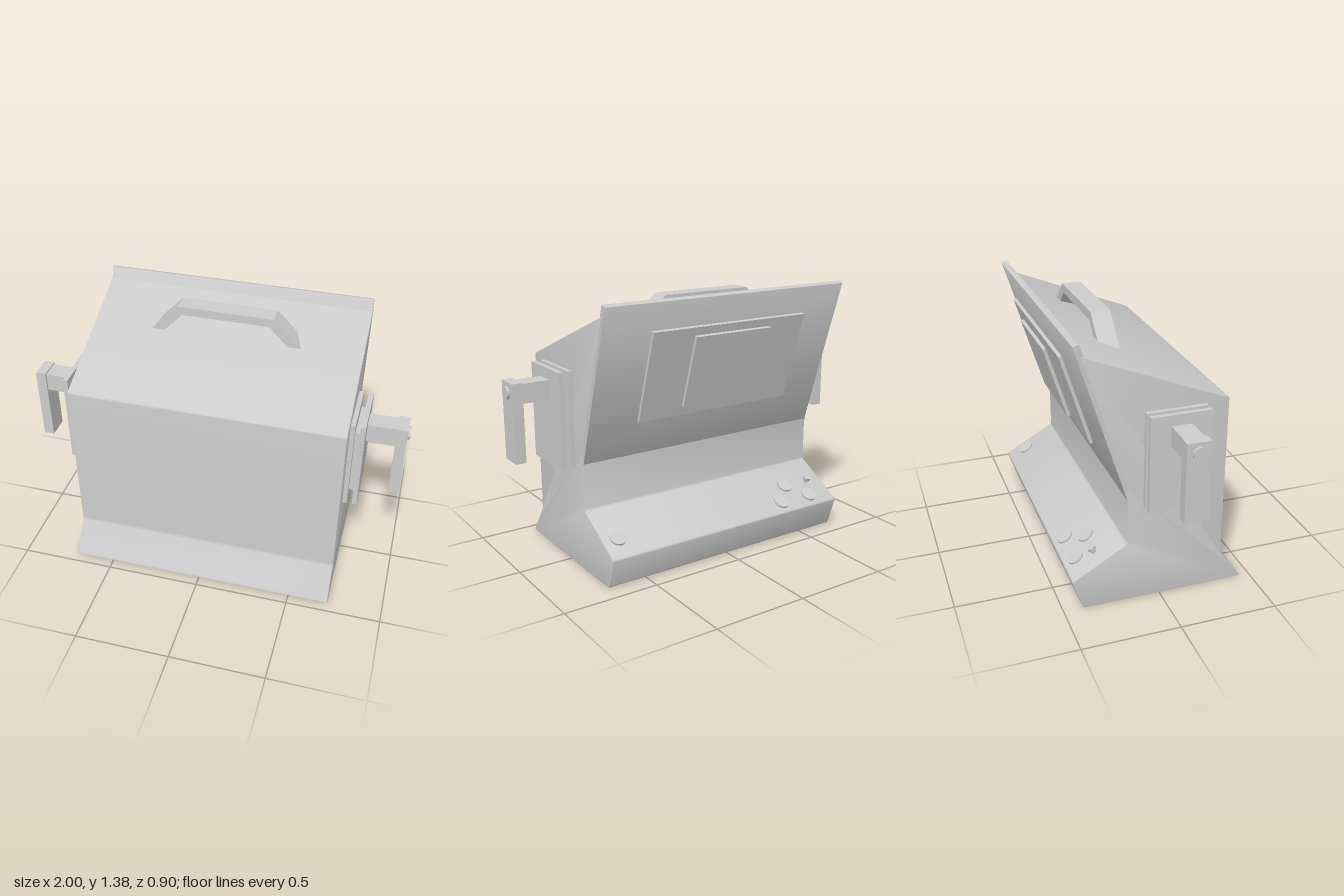
import * as THREE from 'three';
import { toCreasedNormals } from 'three/addons/utils/BufferGeometryUtils.js';

const material = new THREE.MeshStandardMaterial({ color: 0xcccccc });

function add(parent, name, geometry, x = 0, y = 0, z = 0) {
  const mesh = new THREE.Mesh(geometry, material);
  mesh.name = name;
  mesh.position.set(x, y, z);
  parent.add(mesh);
  return mesh;
}

// Box given by its min/max extents
function block(parent, name, [x0, x1], [y0, y1], [z0, z1]) {
  return add(parent, name, new THREE.BoxGeometry(x1 - x0, y1 - y0, z1 - z0),
    (x0 + x1) / 2, (y0 + y1) / 2, (z0 + z1) / 2);
}

// Closed outline with softened corners
function softShape(points, r) {
  const shape = new THREE.Shape();
  const p = points.map(([a, b]) => new THREE.Vector2(a, b));
  p.forEach((c, i) => {
    const toward = (q) => c.clone().add(q.clone().sub(c).setLength(r));
    const a = toward(p[(i + p.length - 1) % p.length]);
    const b = toward(p[(i + 1) % p.length]);
    if (i === 0) shape.moveTo(a.x, a.y);
    else shape.lineTo(a.x, a.y);
    shape.quadraticCurveTo(c.x, c.y, b.x, b.y);
  });
  shape.closePath();
  return shape;
}

// Side profile of [z, y] points extruded across x
function acrossX(profile, width, radius, bevel) {
  const shape = softShape(profile.map(([z, y]) => [-z, y]), radius);
  const geometry = new THREE.ExtrudeGeometry(shape, {
    depth: width - 2 * bevel, curveSegments: 4, bevelEnabled: bevel > 0,
    bevelThickness: bevel, bevelSize: bevel, bevelOffset: -bevel, bevelSegments: 2,
  });
  geometry.translate(0, 0, bevel - width / 2).rotateY(Math.PI / 2);
  return toCreasedNormals(geometry, 0.6);
}

export function createModel() {
  const model = new THREE.Group();
  model.name = 'controlCabinet';

  // Cabinet body
  add(model, 'body', acrossX([
    [0.45, 0], [0.33, 0.17], [0.33, 1.035], [-0.4, 1.33],
    [-0.172, 0.62], [-0.172, 0.325], [-0.455, 0.165], [-0.4, 0],
  ], 1.426, 0.012, 0.006));

  // Sloping display panel
  add(model, 'displayPanel', acrossX([
    [-0.398, 1.381], [-0.428, 1.372], [-0.172, 0.565], [-0.168, 0.645],
  ], 1.42, 0.002, 0));

  // Raised screen plates, parallel to the panel
  const tilt = Math.atan2(0.147, 0.47);
  const plates = [
    ['screenFrame', 0.91, 0.49, 1.0, -0.342],
    ['screen', 0.45, 0.392, 1.003, -0.373],
  ];
  for (const [name, w, h, y, z] of plates) {
    add(model, name, new THREE.BoxGeometry(w, h, 0.017), 0, y, z).rotation.x = -tilt;
  }

  // Buttons and knob on the control deck
  const deckTilt = Math.atan2(0.16, 0.283);
  const deck = new THREE.Group();
  deck.name = 'controls';
  deck.position.set(0, 0.325, -0.172);
  deck.rotation.x = -deckTilt;
  model.add(deck);
  const disc = (name, x, along, r, h) =>
    add(deck, name, new THREE.CylinderGeometry(r, r, h, 32), x, h / 2 - 0.002, -along * 0.325);
  for (const [x, along] of [[0.63, 0.64], [-0.46, 0.48], [-0.37, 0.78], [-0.565, 0.78]]) {
    disc('button', x, along, 0.042, 0.013);
  }
  disc('knobStem', -0.61, 0.49, 0.012, 0.03);
  const cap = disc('knob', -0.61, 0.49, 0.02, 0.02);
  cap.position.y = 0.027;

  // Carrying handle on the roof
  const arch = new THREE.Shape([
    [-0.393, 1.213], [-0.325, 1.213], [-0.23, 1.315], [0.23, 1.315],
    [0.325, 1.213], [0.393, 1.213], [0.25, 1.36], [-0.25, 1.36],
  ].map(([x, y]) => new THREE.Vector2(x, y)));
  add(model, 'carryHandle',
    new THREE.ExtrudeGeometry(arch, { depth: 0.1, bevelEnabled: false }), 0, 0, -0.203);

  // Mounting plates, arm, grip and bolt on each side
  for (const side of [1, -1]) {
    const mount = new THREE.Group();
    mount.name = side > 0 ? 'leftSideHandle' : 'rightSideHandle';
    if (side < 0) mount.rotation.y = Math.PI;
    mount.position.z = 0.06;
    model.add(mount);
    block(mount, 'innerPlate', [0.705, 0.736], [0.523, 1.02], [-0.153, 0.153]);
    block(mount, 'spacer', [0.73, 0.766], [0.585, 0.953], [-0.115, 0.115]);
    block(mount, 'outerPlate', [0.762, 0.787], [0.523, 1.02], [-0.153, 0.153]);
    block(mount, 'arm', [0.78, 0.94], [0.866, 0.965], [-0.051, 0.051]);
    block(mount, 'grip', [0.932, 0.987], [0.57, 0.972], [-0.06, 0.06]);
    add(mount, 'bolt', new THREE.CylinderGeometry(0.033, 0.033, 0.03, 32), 0.985, 0.92, 0)
      .rotation.z = Math.PI / 2;
  }
  return model;
}
